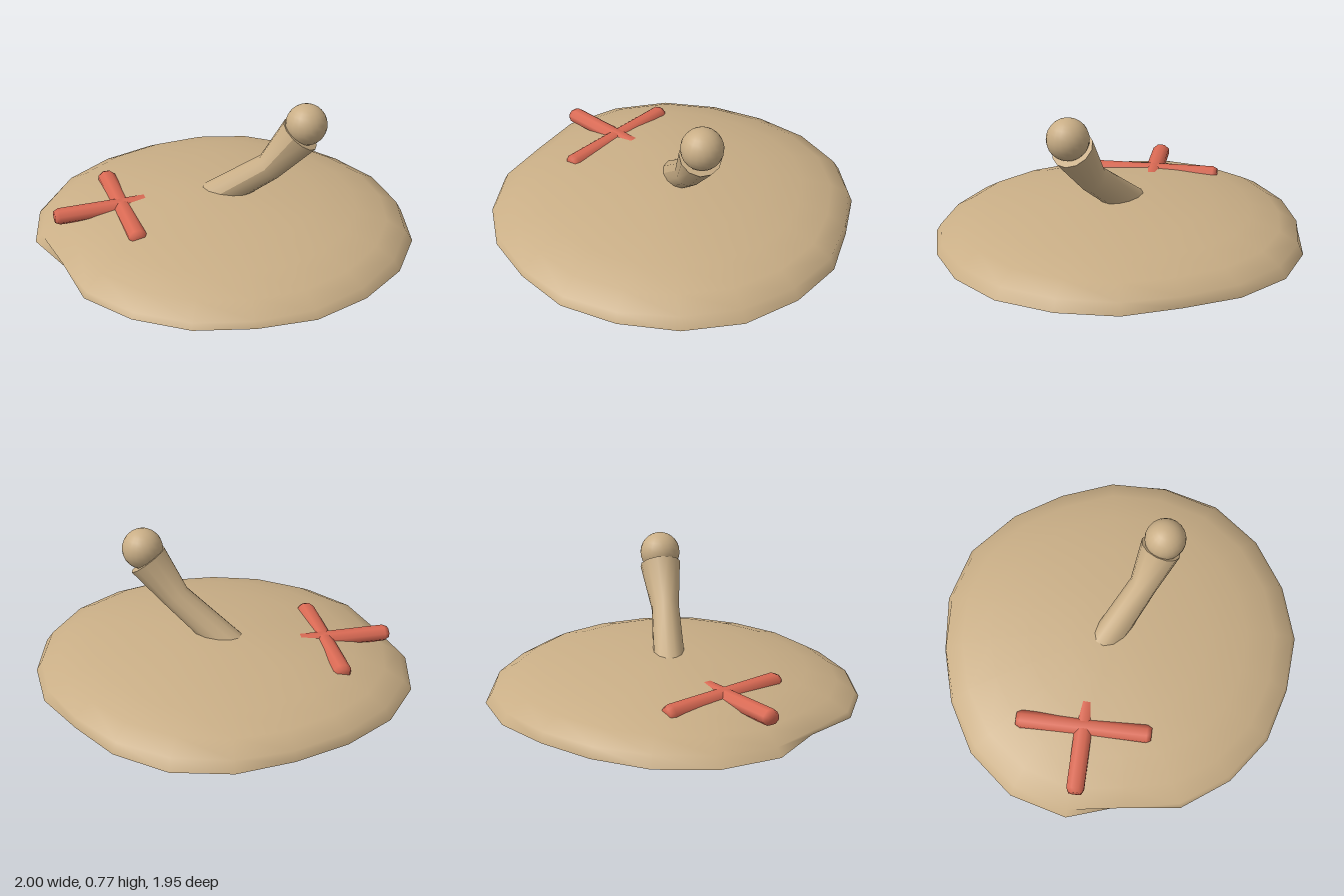
import * as THREE from 'three';
import { mergeVertices } from 'three/addons/utils/BufferGeometryUtils.js';

const SIDES = 20;
// Uneven rim radius every 18 degrees, from the front (+z) towards +x
const RIM = [0.97, 0.97, 0.958, 0.98, 0.984, 1, 1.01, 0.994, 0.982, 0.946,
  0.98, 1.005, 0.988, 0.955, 0.966, 1, 1.018, 1, 0.9, 0.968];

// Turned disc whose outline follows the uneven rim; front slope sags a little
function moundSurface(points) {
  const geo = new THREE.LatheGeometry(points, SIDES);
  geo.deleteAttribute('uv');
  geo.deleteAttribute('normal');
  const pos = geo.attributes.position;
  for (let i = 0; i < pos.count; i++) {
    const x = pos.getX(i), y = pos.getY(i), z = pos.getZ(i);
    const step = Math.round(Math.atan2(x, z) / (2 * Math.PI) * SIDES + SIDES) % SIDES;
    const onRim = Math.hypot(x, z) > 0.99;
    const k = onRim ? RIM[step] : 1 + (RIM[step] - 1) * 0.5;
    const sag = !onRim && y > 0.03 ? 0.03 * Math.max(0, z) : 0;
    pos.setXYZ(i, x * k, y - sag, z * k);
  }
  const merged = mergeVertices(geo, 1e-4);
  merged.computeVertexNormals();
  return merged;
}

// Cylinder bent so that its rings sit on the given centres
function bentCylinder(rings, sides) {
  const geo = new THREE.CylinderGeometry(1, 1, 1, sides, rings.length - 1);
  const pos = geo.attributes.position;
  const up = new THREE.Vector3(0, 1, 0);
  const frames = rings.map((ring, i) => {
    const a = rings[Math.max(0, i - 1)].at, b = rings[Math.min(rings.length - 1, i + 1)].at;
    const dir = new THREE.Vector3().subVectors(b, a).normalize();
    return new THREE.Quaternion().setFromUnitVectors(up, dir);
  });
  const v = new THREE.Vector3();
  for (let i = 0; i < pos.count; i++) {
    v.fromBufferAttribute(pos, i);
    const n = Math.round((v.y + 0.5) * (rings.length - 1));
    v.y = 0;
    v.multiplyScalar(rings[n].radius).applyQuaternion(frames[n]).add(rings[n].at);
    pos.setXYZ(i, v.x, v.y, v.z);
  }
  // Cap vertices stay separate, so the end edges remain sharp
  geo.computeVertexNormals();
  return geo;
}

export function createModel() {
  const model = new THREE.Group();
  model.name = 'island';

  const sand = new THREE.MeshStandardMaterial({ color: 0xc9ae86 });
  sand.name = 'sand';
  const red = new THREE.MeshStandardMaterial({ color: 0xda6a54 });
  red.name = 'red';

  const add = (name, geo, mat) => {
    const mesh = new THREE.Mesh(geo, mat);
    mesh.name = name;
    model.add(mesh);
    return mesh;
  };

  // Mound: flattened dome
  const dome = [];
  for (let i = 0; i <= 6; i++) {
    const t = i / 6 * Math.PI / 2;
    dome.push(new THREE.Vector2(i === 6 ? 0 : Math.cos(t), 0.02 + 0.22 * Math.sin(t)));
  }
  add('mound', moundSurface(dome), sand);

  // Slightly bulging underside
  const base = [[0, 0], [0.5, 0.003], [0.85, 0.01], [1, 0.02]].map(p => new THREE.Vector2(...p));
  add('underside', moundSurface(base), sand);

  // Leaning trunk, widening to its open top, with a ball on it
  const at = (x, y, z) => new THREE.Vector3(x, y, z);
  add('trunk', bentCylinder([
    { at: at(-0.08, 0.165, -0.02), radius: 0.085 },
    { at: at(0.23, 0.4, -0.08), radius: 0.075 },
    { at: at(0.38, 0.6, -0.125), radius: 0.11 },
  ], 12), sand);
  const ball = add('trunkBall', new THREE.SphereGeometry(0.108, 20, 14), sand);
  ball.position.set(0.41, 0.66, -0.13);

  // Cross marker: two bevelled bars, one arm sunk into the mound
  const profile = [[0, -0.36], [0.036, -0.36], [0.05, -0.335], [0.05, 0.335], [0.036, 0.36], [0, 0.36]]
    .map(p => new THREE.Vector2(...p));
  for (const [name, angle] of [['crossBarLong', -Math.PI / 4], ['crossBarShort', Math.PI / 4]]) {
    const bar = new THREE.LatheGeometry(profile, 8);
    bar.rotateY(Math.PI / 8).rotateZ(Math.PI / 2).scale(1, 0.84, 1).rotateY(angle);
    add(name, bar, red).position.set(-0.455, 0.173, 0.29);
  }

  return model;
}
